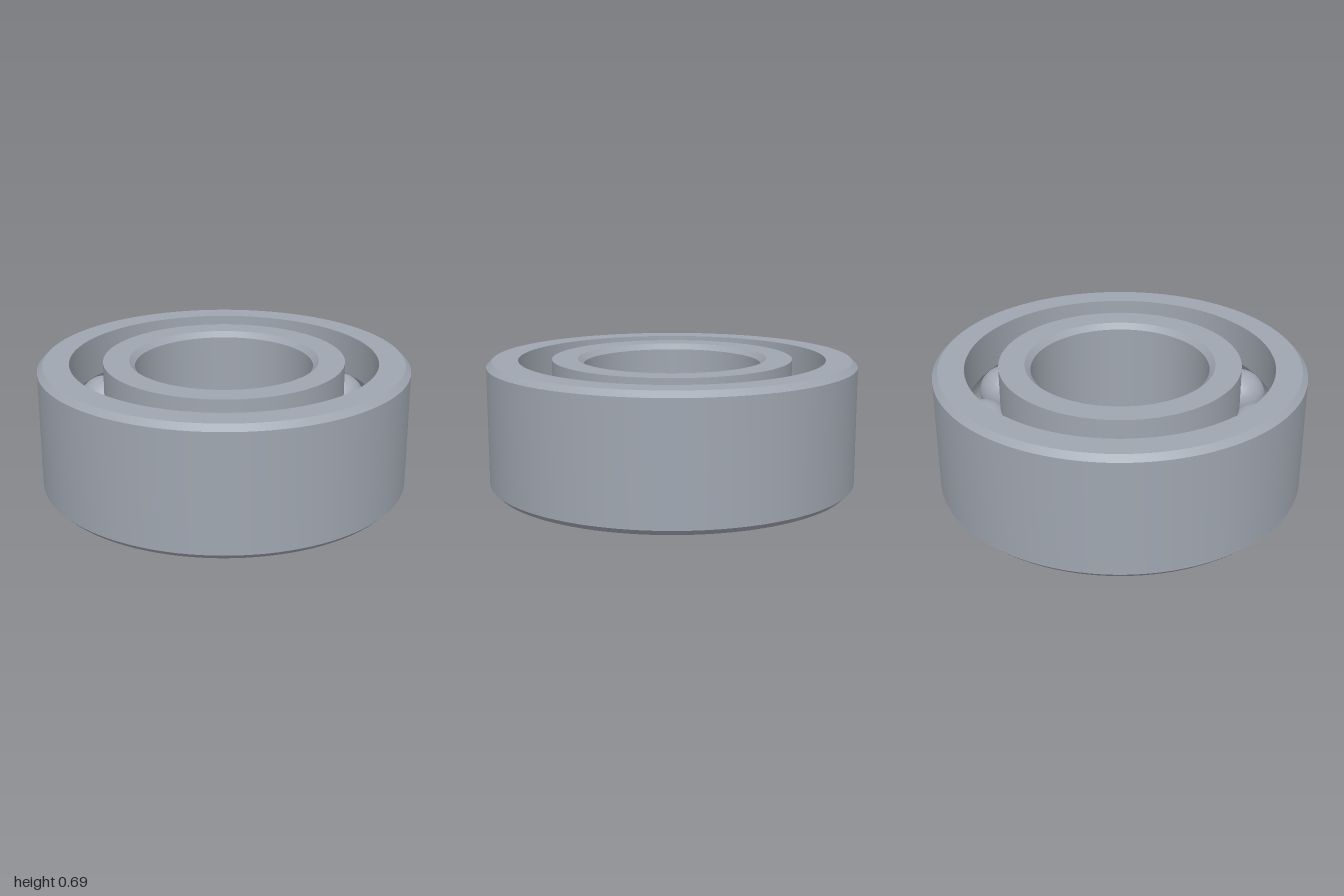
import * as THREE from 'three';
import { toCreasedNormals } from 'three/addons/utils/BufferGeometryUtils.js';

const HEIGHT = 0.695, MID = HEIGHT / 2, CHAMFER = 0.03;
const PITCH = 0.74, BALL = 0.145, HALF_GAP = 0.09, BALL_COUNT = 11;

// Race profile; side +1 is the outer ring, -1 the inner ring.
function ringProfile(side, wall) {
  const face = PITCH + side * HALF_GAP;
  const edge = wall - side * CHAMFER;
  const y = v => MID + side * (v - MID);
  const pts = [
    [face, y(0)], [edge, y(0)], [wall, y(CHAMFER)],
    [wall, y(HEIGHT - CHAMFER)], [edge, y(HEIGHT)], [face, y(HEIGHT)],
  ];
  // Ball groove, cut as an arc into the wall that faces the balls
  const r = BALL + 0.002, a = Math.acos(HALF_GAP / r), steps = 16;
  for (let i = 0; i <= steps; i++) {
    const t = a * (1 - 2 * i / steps);
    pts.push([PITCH + side * r * Math.cos(t), MID + side * r * Math.sin(t)]);
  }
  pts.push(pts[0]);
  // Mirroring twice for the inner ring keeps the profile anticlockwise
  return pts.map(p => new THREE.Vector2(p[0], p[1]));
}

export function createModel() {
  const group = new THREE.Group();
  group.name = 'ballBearing';
  const steel = new THREE.MeshStandardMaterial({ color: 0x9fa6b0 });
  steel.name = 'steel';

  const add = (name, geometry) => {
    const mesh = new THREE.Mesh(geometry, steel);
    mesh.name = name;
    group.add(mesh);
    return mesh;
  };

  // Rings
  for (const [name, side, wall] of [['outerRing', 1, 1], ['innerRing', -1, 0.48]]) {
    const lathe = new THREE.LatheGeometry(ringProfile(side, wall), 128);
    add(name, toCreasedNormals(lathe, 0.4));
  }

  // Balls
  const sphere = new THREE.SphereGeometry(BALL, 40, 24);
  for (let i = 0; i < BALL_COUNT; i++) {
    const t = THREE.MathUtils.degToRad(11.9) + i * 2 * Math.PI / BALL_COUNT;
    add('ball' + (i + 1), sphere).position.set(PITCH * Math.cos(t), MID, PITCH * Math.sin(t));
  }
  return group;
}
